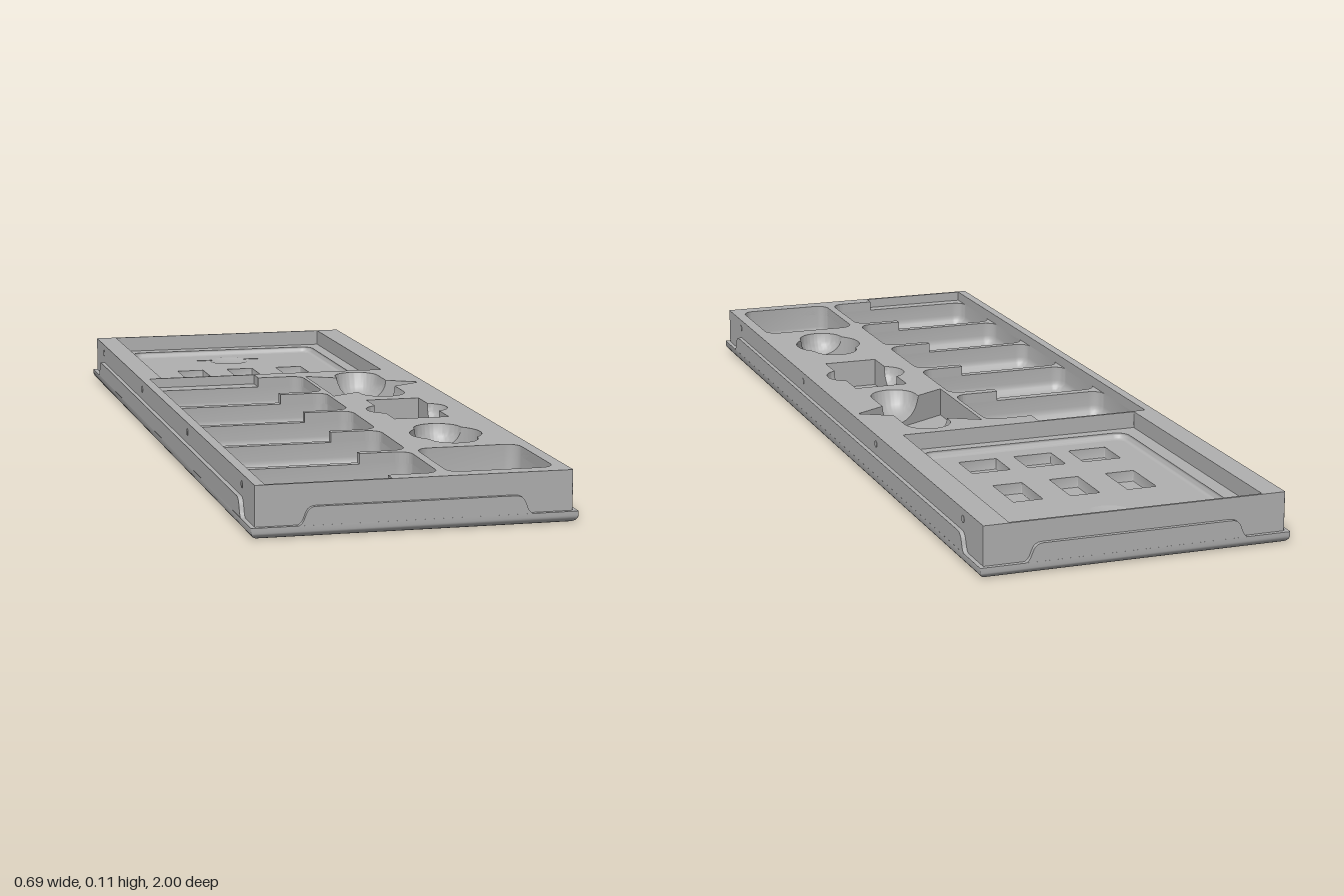
import * as THREE from 'three';
import { toCreasedNormals } from 'three/addons/utils/BufferGeometryUtils.js';

const TOP = 0.11, STEP = 0.087;

// Rounded rectangle points in the ground plane (x, z)
function roundRect(x0, x1, z0, z1, r = 0.002, inset = 0) {
  const cx = (x0 + x1) / 2, cz = (z0 + z1) / 2, n = 6, pts = [];
  const rr = Math.max(r - inset, 0.002);
  const hx = (x1 - x0) / 2 - inset - rr, hz = (z1 - z0) / 2 - inset - rr;
  for (let q = 0; q < 4; q++) {
    const sx = q === 0 || q === 3 ? 1 : -1, sz = q < 2 ? 1 : -1;
    for (let i = 0; i <= n; i++) {
      const a = (q + i / n) * Math.PI / 2;
      pts.push(new THREE.Vector2(cx + sx * hx + rr * Math.cos(a), cz + sz * hz + rr * Math.sin(a)));
    }
  }
  return pts;
}

function circle(cx, cz, r) {
  return Array.from({ length: 24 }, (_, i) => {
    const a = i / 24 * Math.PI * 2;
    return new THREE.Vector2(cx + r * Math.cos(a), cz + r * Math.sin(a));
  });
}

const lift = (pts, y) => pts.map(p => new THREE.Vector3(p.x, y, p.y));

// Skin over closed rings of equal point count
function loft(rings) {
  const n = rings[0].length, pos = [], index = [];
  rings.forEach(ring => ring.forEach(p => pos.push(p.x, p.y, p.z)));
  for (let i = 0; i < rings.length - 1; i++) {
    for (let j = 0; j < n; j++) {
      const a = i * n + j, b = i * n + (j + 1) % n, c = a + n, d = b + n;
      index.push(a, c, b, b, c, d);
    }
  }
  const g = new THREE.BufferGeometry();
  g.setAttribute('position', new THREE.Float32BufferAttribute(pos, 3));
  g.setIndex(index);
  return toCreasedNormals(g, 0.6);
}

// Horizontal slab with holes, hanging down from yTop
function slab(outline, holes, yTop, depth) {
  const s = new THREE.Shape(outline);
  s.holes = holes.map(h => new THREE.Path(h));
  return new THREE.ExtrudeGeometry(s, { depth, bevelEnabled: false })
    .rotateX(Math.PI / 2).translate(0, yTop, 0);
}

export function createModel() {
  const model = new THREE.Group();
  const grey = new THREE.MeshStandardMaterial({ color: 0xb0b0b0, side: THREE.DoubleSide });
  grey.name = 'grey';
  const add = (name, geo) => {
    const m = new THREE.Mesh(geo, grey);
    m.name = name;
    model.add(m);
    return m;
  };

  // Open pocket with a filleted floor, which may have holes of its own
  function pocket(name, rect, r, yTop, yFloor, fillet, holes = []) {
    const rings = [lift(roundRect(...rect, r), yTop)];
    for (let i = 0; i <= 6; i++) {
      const a = i / 6 * Math.PI / 2;
      rings.push(lift(roundRect(...rect, r, fillet * (1 - Math.cos(a))), yFloor + fillet * (1 - Math.sin(a))));
    }
    add(name + 'Wall', loft(rings));
    add(name + 'Floor', slab(roundRect(...rect, r, fillet), holes, yFloor, 0.002));
  }

  // Shaped pocket crossed by a round-bottomed finger scoop, swept by rays from its centre
  function fingerPocket(name, cx, cz, radius, corners, alongX, L, R) {
    const floor = 0.045, angles = [...corners];
    for (let i = 0; i < 240; i++) angles.push(i / 240 * Math.PI * 2);
    const rays = angles.map(a => (a + Math.PI * 2) % (Math.PI * 2)).sort((a, b) => a - b);
    const steps = 8, rings = Array.from({ length: steps + 3 }, () => []), outline = [];
    rays.forEach(t => {
      const ux = Math.cos(t), uz = Math.sin(t);
      const c = Math.abs(alongX ? ux : uz), s = Math.abs(alongX ? uz : ux);
      const side = R / Math.max(s, 1e-6);
      const scoop = side * c <= L ? side : L * c + Math.sqrt(Math.max(0, R * R - L * L * s * s));
      const inner = radius(ux, uz), outer = Math.max(inner, scoop);
      outline.push(new THREE.Vector2(cx + ux * outer, cz + uz * outer));
      for (let k = 0; k <= steps; k++) {
        const q = outer + (inner - outer) * k / steps;
        const d = Math.hypot(Math.max(0, q * c - L), q * s);
        const y = TOP - Math.sqrt(Math.max(0, R * R - d * d));
        rings[k].push(new THREE.Vector3(cx + ux * q, y, cz + uz * q));
      }
      rings[steps + 1].push(new THREE.Vector3(cx + ux * inner, floor, cz + uz * inner));
      rings[steps + 2].push(new THREE.Vector3(cx, floor, cz));
    });
    add(name, loft(rings));
    return outline;
  }

  // Radius of a convex polygon given by corners around the origin
  const polygonRadius = pts => (ux, uz) => Math.min(...pts.map((p, i) => {
    const q = pts[(i + 1) % pts.length];
    const nx = q[1] - p[1], nz = p[0] - q[0];
    const along = nx * ux + nz * uz, dist = nx * p[0] + nz * p[1];
    return along * dist > 1e-12 ? dist / along : Infinity;
  }));
  const cornerAngles = pts => pts.map(p => Math.atan2(p[1], p[0]));

  // Finger pockets: triangle, rectangle and circle
  const tri = [[-0.125, -0.143], [0.127, 0], [-0.125, 0.143]];
  const rec = [[-0.064, -0.124], [0.064, -0.124], [0.064, 0.124], [-0.064, 0.124]];
  const fingerHoles = [
    fingerPocket('trianglePocket', 0.195, -0.11, polygonRadius(tri), cornerAngles(tri), false, 0.121, 0.054),
    fingerPocket('rectanglePocket', 0.195, 0.23, polygonRadius(rec), cornerAngles(rec), true, 0.043, 0.053),
    fingerPocket('circlePocket', 0.195, 0.545, () => 0.08, [], false, 0.061, 0.054),
  ];

  // Row of storage bins, with a lowered step along their left ends
  const binZ = [[-0.26, -0.035], [-0.013, 0.213], [0.232, 0.46], [0.478, 0.706], [0.725, 0.953]];
  const bins = binZ.map(z => [-0.315, 0.06, ...z]);
  const comb = [[-0.315, -0.307], [-0.05, -0.307]].map(p => new THREE.Vector2(...p));
  bins.forEach(b => {
    pocket('bin', b, 0.03, STEP, 0.025, 0.028);
    const end = roundRect(...b, 0.03).filter(p => p.x > -0.05).sort((p, q) => p.y - q.y);
    comb.push(new THREE.Vector2(-0.05, b[2]), ...end, new THREE.Vector2(-0.05, b[3]));
  });
  comb.push(new THREE.Vector2(-0.05, 0.983), new THREE.Vector2(-0.315, 0.983));
  add('binStep', slab(roundRect(-0.33, 0.07, -0.311, 0.986), bins.map(b => roundRect(...b, 0.03)), STEP, 0.002));

  const squareBin = [0.08, 0.31, 0.7, 0.953];
  pocket('squareBin', squareBin, 0.03, TOP, 0.025, 0.028);

  // Body: top plate and the walls below it
  const body = [-0.337, 0.337, -0.99, 0.99], panel = [-0.285, 0.28, -0.984, -0.313];
  add('topPlate', slab(roundRect(...body),
    [roundRect(...panel), comb, ...fingerHoles, roundRect(...squareBin, 0.03)], TOP, TOP - STEP));
  add('bodyWalls', slab(roundRect(...body),
    [roundRect(...panel), roundRect(-0.33, 0.33, -0.307, 0.983)], STEP, STEP - 0.015));

  // Sunken panel with six small sockets and a round dent
  const inner = [-0.25, 0.25, -0.947, -0.34], PANEL = 0.072, INNER = 0.058;
  add('panelLedge', slab(roundRect(-0.288, 0.283, -0.987, -0.31), [roundRect(...inner, 0.03)], PANEL, 0.002));
  const panelHoles = [circle(0, -0.85, 0.052)];
  for (const x of [-0.133, 0, 0.132]) {
    for (const [w, z0, z1, hz] of [[0.034, -0.71, -0.585, -0.68], [0.045, -0.485, -0.395, -0.44]]) {
      const rect = [x - w, x + w, z0, z1], hole = circle(x, hz, 0.015);
      panelHoles.push(roundRect(...rect));
      pocket('socket', rect, 0.002, INNER, 0.033, 0.001, [hole]);
      add('socketHole', loft([lift(hole, 0.033), lift(hole, 0.022), lift(circle(x, hz, 0.0001), 0.022)]));
    }
  }
  pocket('panelRecess', inner, 0.03, PANEL, INNER, 0.012, panelHoles);
  add('roundDent', loft([0.052, 0.04, 0.02, 0.0001].map((r, i) =>
    lift(circle(0, -0.85, r), INNER - [0, 0.003, 0.005, 0.006][i]))));
  for (const s of [-1, 1]) {
    add('dentMark', new THREE.BoxGeometry(0.04, 0.002, 0.004)).position.set(s * 0.064, INNER, -0.862);
  }

  // Bottom pan with rounded lower edge
  const pan = [-0.347, 0.347, -1, 1], rings = [lift(roundRect(-0.001, 0.001, -0.001, 0.001, 0.0005), 0)];
  for (let i = 0; i <= 6; i++) {
    const a = i / 6 * Math.PI / 2;
    rings.push(lift(roundRect(...pan, 0.002, 0.016 * (1 - Math.sin(a))), 0.016 * (1 - Math.cos(a))));
  }
  rings.push(lift(roundRect(...pan), 0.024), lift(roundRect(...pan, 0.002, 0.014), 0.024));
  add('bottomPan', loft(rings));

  // Raised lips of the pan, cut low near the corners
  for (let i = 0; i < 4; i++) {
    const half = i % 2 ? 1 : 0.347, out = i % 2 ? 0.347 : 1;
    const a = half - 0.088, b = half - 0.137, y0 = 0.022, y1 = 0.063;
    const s = new THREE.Shape();
    s.moveTo(-a, y0);
    s.bezierCurveTo(-b - 0.015, y0, -a + 0.015, y1, -b, y1);
    s.lineTo(b, y1);
    s.bezierCurveTo(a - 0.015, y1, b + 0.015, y0, a, y0);
    const g = new THREE.ExtrudeGeometry(s, { depth: 0.0098, bevelEnabled: false });
    add('panLip', g.translate(0, 0, out - 0.01).rotateY(i * Math.PI / 2));
  }

  // Small screws along both long sides
  for (const s of [-1, 1]) {
    for (const z of [-0.87, -0.29, 0.29, 0.87]) {
      const m = add('sideScrew', new THREE.CylinderGeometry(0.008, 0.008, 0.004, 16).rotateZ(Math.PI / 2));
      m.position.set(s * 0.336, 0.088, z);
    }
  }
  return model;
}
